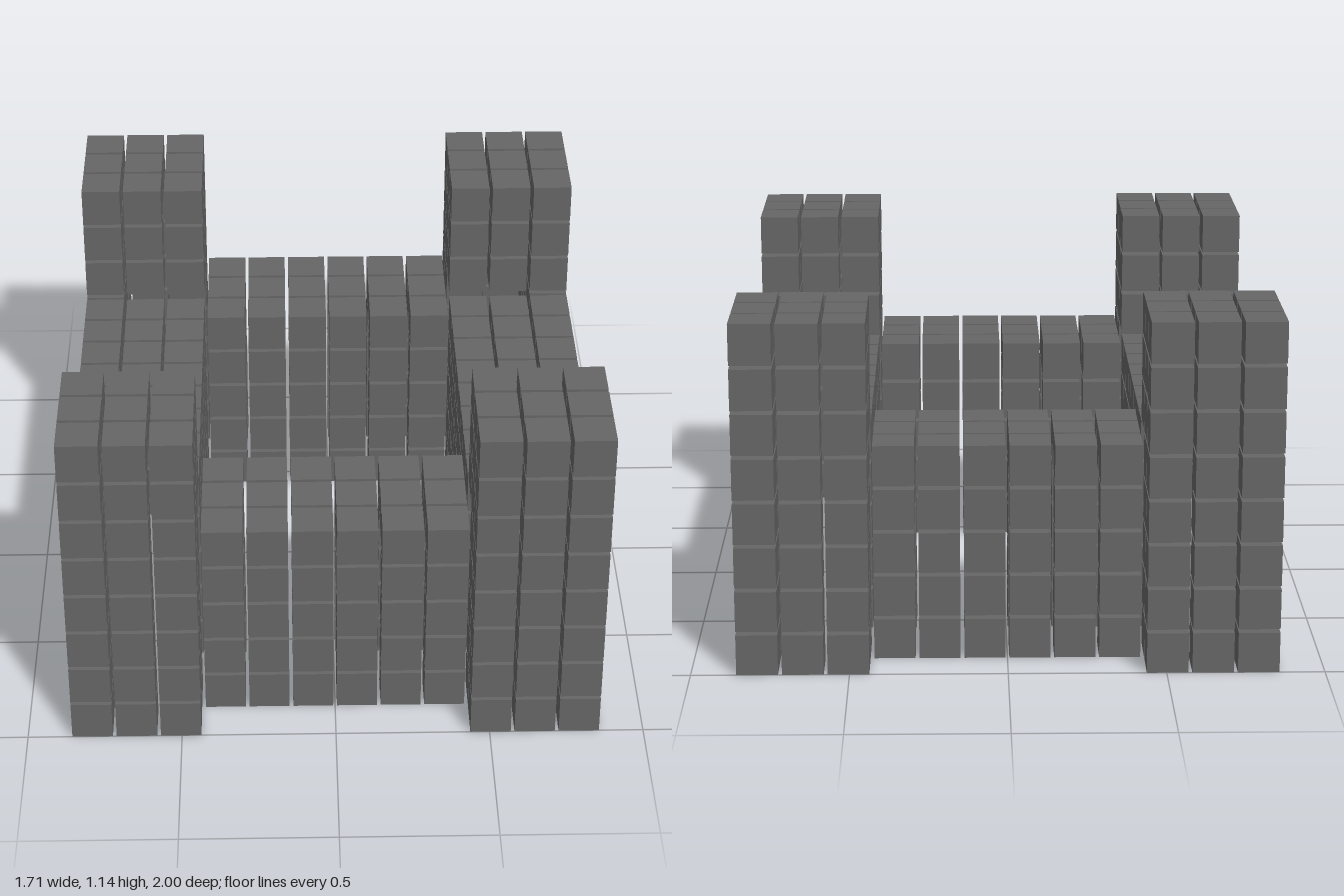
import * as THREE from 'three';
import { mergeGeometries } from 'three/addons/utils/BufferGeometryUtils.js';

// Block grid: 12 wide, 14 deep, walls 5 high, towers 8 high
const NX = 12, NZ = 14, WALL_H = 5, TOWER_H = 8, THICK = 3;
const SIZE = 0.1315;
const PITCH = (2 - SIZE) / (NZ - 1);

const nearEdge = (i, n) => Math.min(i, n - 1 - i); // distance in cells from the nearest side

// Which part of the castle a column of the plan belongs to
function partAt(i, k) {
  if (i < 0 || k < 0 || i >= NX || k >= NZ) return null;
  const ex = nearEdge(i, NX), ez = nearEdge(k, NZ);
  if (ex < THICK && ez < THICK) {
    return (k < NZ / 2 ? 'back' : 'front') + (i < NX / 2 ? 'Right' : 'Left') + 'Tower';
  }
  if (ex < THICK) return i < NX / 2 ? 'rightWall' : 'leftWall';
  // front and back walls are set in by one block
  if (ez >= 1 && ez <= THICK) return k < NZ / 2 ? 'backWall' : 'frontWall';
  return null;
}

function isSolid(i, j, k) {
  const part = partAt(i, k);
  return part !== null && j < (part.endsWith('Tower') ? TOWER_H : WALL_H);
}

// Walls and towers are hollow shells, open underneath: a block is left out
// when it is covered above and surrounded on all sides and corners
function isBuried(i, j, k) {
  for (let di = -1; di <= 1; di++) {
    for (let dk = -1; dk <= 1; dk++) {
      if (!isSolid(i + di, j, k + dk)) return false;
    }
  }
  return isSolid(i, j + 1, k);
}

export function createModel() {
  const castle = new THREE.Group();
  castle.name = 'blockCastle';
  const material = new THREE.MeshStandardMaterial({ color: 0x666666 });
  const parts = {};

  // Lay the separate blocks, leaving a thin joint between them
  for (let i = 0; i < NX; i++) {
    for (let k = 0; k < NZ; k++) {
      for (let j = 0; j < TOWER_H; j++) {
        if (!isSolid(i, j, k) || isBuried(i, j, k)) continue;
        const block = new THREE.BoxGeometry(SIZE, SIZE, SIZE);
        block.translate((i - (NX - 1) / 2) * PITCH, SIZE / 2 + j * PITCH, (k - (NZ - 1) / 2) * PITCH);
        (parts[partAt(i, k)] ??= []).push(block);
      }
    }
  }

  // One mesh for each tower and wall
  for (const [name, blocks] of Object.entries(parts)) {
    const mesh = new THREE.Mesh(mergeGeometries(blocks), material);
    mesh.name = name;
    castle.add(mesh);
  }
  return castle;
}
